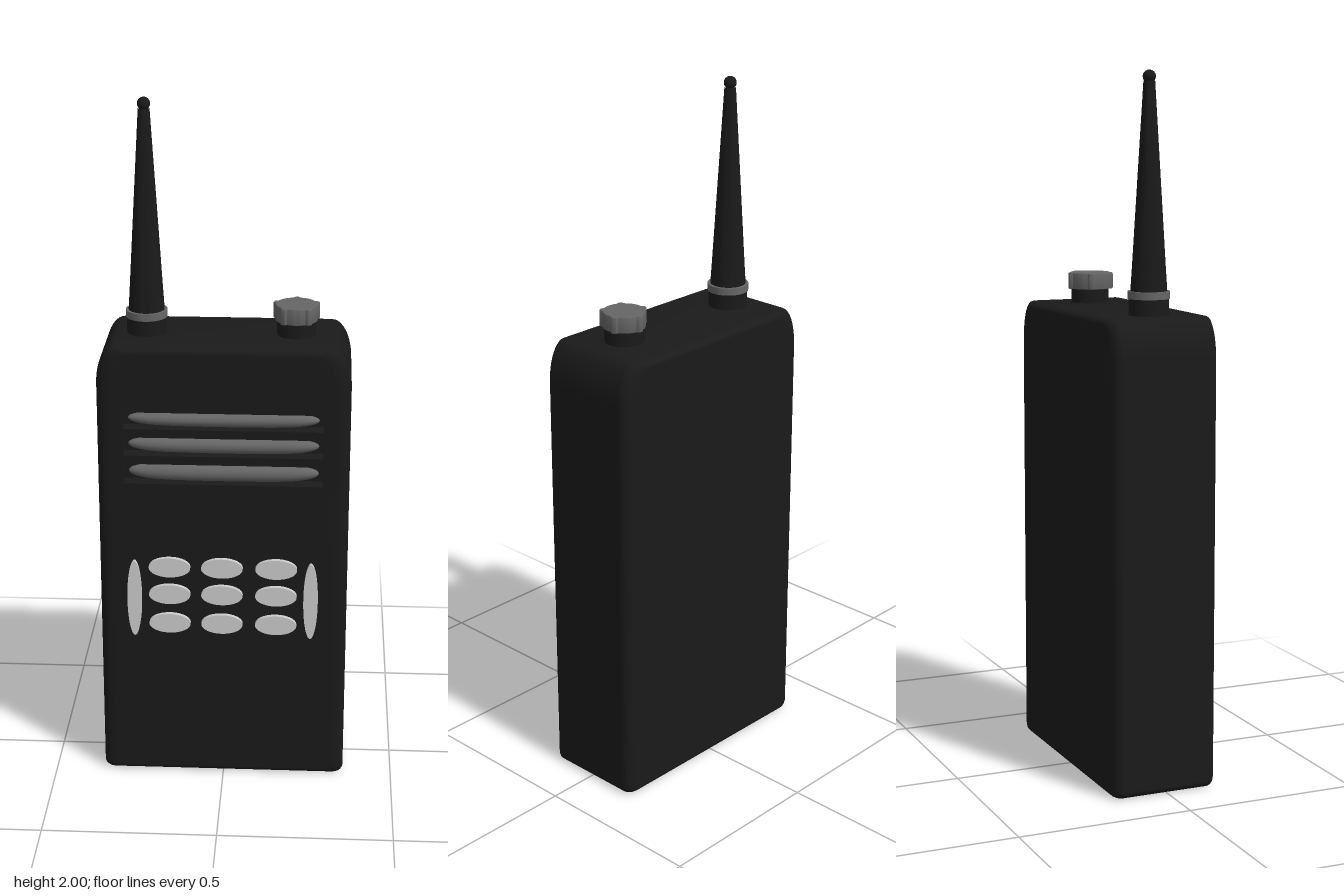
import * as THREE from 'three';
import { toCreasedNormals } from 'three/addons/utils/BufferGeometryUtils.js';

const black = new THREE.MeshStandardMaterial({ color: 0x1a1a1a });
const darkGrey = new THREE.MeshStandardMaterial({ color: 0x666666 });
const lightGrey = new THREE.MeshStandardMaterial({ color: 0xcccccc });

const HALF_W = 0.357, HEIGHT = 1.335, BACK = -0.165, FRONT = 0.152;
// Edge rounding: sideways, vertical and in depth
const EDGE_X = 0.038, EDGE_Y = 0.018, EDGE_Z = 0.03;
const SLOTS = [[1.095, 1.145], [1.015, 1.07], [0.93, 0.99]];
const SLOT_W = 0.565, SLOT_DEPTH = 0.045;

function addMesh(parent, name, geometry, material, x = 0, y = 0, z = 0) {
  const mesh = new THREE.Mesh(geometry, material);
  mesh.name = name;
  mesh.position.set(x, y, z);
  parent.add(mesh);
  return mesh;
}

// Body outline, counter-clockwise, with large top and small bottom corners;
// inset runs from 0 at the sides to 1 at the flat faces
function outline(inset) {
  const points = [];
  const corners = [
    [1, 0, 0.022, 0.022, -90], [1, 1, 0.055, 0.115, 0],
    [-1, 1, 0.055, 0.115, 90], [-1, 0, 0.022, 0.022, 180],
  ];
  for (const [side, top, rx, ry, start] of corners) {
    const cx = side * (HALF_W - inset * EDGE_X - rx);
    const low = inset * EDGE_Y + ry;
    const cy = top ? HEIGHT - low : low;
    for (let i = 0; i <= 10; i++) {
      const a = THREE.MathUtils.degToRad(start + i * 9);
      points.push(new THREE.Vector2(cx + rx * Math.cos(a), cy + ry * Math.sin(a)));
    }
  }
  return points;
}

// Side wall lofted from back to front with rounded edges
function wallGeometry() {
  const backRings = [], frontRings = [];
  for (let i = 0; i <= 6; i++) {
    const a = (i / 6) * Math.PI / 2;
    const inset = 1 - Math.sin(a), depth = EDGE_Z * (1 - Math.cos(a));
    backRings.push([inset, BACK + depth]);
    frontRings.unshift([inset, FRONT - depth]);
  }
  const rings = [...backRings, ...frontRings];
  const positions = [], index = [];
  const n = outline(0).length;
  for (const [inset, z] of rings) {
    for (const p of outline(inset)) positions.push(p.x, p.y, z);
  }
  for (let r = 0; r < rings.length - 1; r++) {
    for (let i = 0; i < n; i++) {
      const a = r * n + i, b = r * n + (i + 1) % n;
      index.push(a, b, b + n, a, b + n, a + n);
    }
  }
  const g = new THREE.BufferGeometry();
  g.setAttribute('position', new THREE.Float32BufferAttribute(positions, 3));
  g.setIndex(index);
  g.computeVertexNormals();
  return g;
}

function buildBody() {
  const body = new THREE.Group();
  body.name = 'body';
  addMesh(body, 'bodyWall', wallGeometry(), black);

  // Front face with speaker slots cut out
  const face = new THREE.Shape(outline(1));
  for (const [y0, y1] of SLOTS) {
    const w = SLOT_W / 2;
    face.holes.push(new THREE.Path([
      new THREE.Vector2(-w, y0), new THREE.Vector2(-w, y1),
      new THREE.Vector2(w, y1), new THREE.Vector2(w, y0),
    ]));
  }
  addMesh(body, 'frontFace', new THREE.ShapeGeometry(face), black, 0, 0, FRONT);
  const back = addMesh(body, 'backFace', new THREE.ShapeGeometry(new THREE.Shape(outline(1))), black, 0, 0, BACK);
  back.rotation.y = Math.PI;
  return body;
}

// Box without its front, facing inward
function pocketGeometry(height) {
  const g = new THREE.BoxGeometry(SLOT_W, height, SLOT_DEPTH);
  const index = Array.from(g.index.array);
  index.splice(24, 6);
  g.setIndex(index.reverse());
  g.clearGroups();
  g.computeVertexNormals();
  return g;
}

// Rounded bar with blunt ends, bowed forward in the middle
function barGeometry() {
  const profile = [];
  for (let i = 0; i <= 40; i++) {
    const t = -Math.cos(i / 40 * Math.PI);
    profile.push(new THREE.Vector2(Math.sqrt(Math.max(0, 1 - Math.abs(t) ** 6)), t));
  }
  const g = new THREE.LatheGeometry(profile, 20).rotateZ(Math.PI / 2);
  const p = g.attributes.position;
  for (let i = 0; i < p.count; i++) p.setZ(i, p.getZ(i) - 0.4 * p.getX(i) ** 2);
  return g;
}

function buildSpeaker() {
  const speaker = new THREE.Group();
  speaker.name = 'speakerGrille';
  const bar = barGeometry();
  for (const [y0, y1] of SLOTS) {
    const h = y1 - y0, y = (y0 + y1) / 2;
    addMesh(speaker, 'slot', pocketGeometry(h), black, 0, y, FRONT - SLOT_DEPTH / 2);
    addMesh(speaker, 'grilleBar', bar, darkGrey, 0, y, 0.131).scale.set(0.27, h * 0.4, 0.023);
  }
  return speaker;
}

// Oval keys in a grid with a tall key on each side
function buildKeypad() {
  const keypad = new THREE.Group();
  keypad.name = 'keypad';
  const disc = new THREE.CylinderGeometry(1, 1, 0.03, 40).rotateX(Math.PI / 2);
  const key = (name, x, y, rx, ry) =>
    addMesh(keypad, name, disc, lightGrey, x, y, 0.15).scale.set(rx, ry, 1);
  for (const y of [0.675, 0.59, 0.498]) {
    for (const x of [-0.154, -0.003, 0.153]) key('ovalKey', x, y, 0.06, 0.03);
  }
  for (const x of [-0.256, 0.253]) key('sideKey', x, 0.576, 0.021, 0.118);
  return keypad;
}

function lathe(points) {
  const g = new THREE.LatheGeometry(points.map(([r, y]) => new THREE.Vector2(r, y)), 40);
  return toCreasedNormals(g, 0.6);
}

function buildAntenna() {
  const antenna = new THREE.Group();
  antenna.name = 'antenna';
  antenna.position.set(-0.224, 0, -0.004);
  addMesh(antenna, 'antennaBase', new THREE.CylinderGeometry(0.056, 0.056, 0.06, 40), black, 0, 1.355);
  addMesh(antenna, 'antennaRing', lathe([[0.045, 1.38], [0.059, 1.38], [0.059, 1.401], [0.045, 1.401]]), darkGrey);
  addMesh(antenna, 'antennaRod', lathe([[0.051, 1.4], [0.047, 1.46], [0.016, 1.97]]), black);
  addMesh(antenna, 'antennaTip', new THREE.SphereGeometry(0.018, 24, 16), black, 0, 1.982);
  return antenna;
}

// Turning knob with five narrow grip ridges
function buildKnob() {
  const knob = new THREE.Group();
  knob.name = 'knob';
  knob.position.set(0.199, 0, -0.003);
  addMesh(knob, 'knobBase', new THREE.CylinderGeometry(0.055, 0.055, 0.06, 40), black, 0, 1.355);
  const points = [];
  for (let i = 0; i < 160; i++) {
    const a = i / 160 * Math.PI * 2;
    const step = Math.PI * 2 / 5, d = a - Math.PI / 2;
    const off = d - Math.round(d / step) * step;
    const r = 0.057 + 0.008 * Math.exp(-((off / 0.13) ** 4));
    points.push(new THREE.Vector2(r * Math.cos(a), r * Math.sin(a)));
  }
  const cap = new THREE.ExtrudeGeometry(new THREE.Shape(points), {
    depth: 0.04, bevelEnabled: true, bevelSize: 0.003, bevelThickness: 0.004, bevelSegments: 2,
  }).rotateX(-Math.PI / 2);
  addMesh(knob, 'knobCap', toCreasedNormals(cap, 0.5), darkGrey, 0, 1.379);
  return knob;
}

export function createModel() {
  const model = new THREE.Group();
  model.name = 'handheldRadio';
  model.add(buildBody(), buildSpeaker(), buildKeypad(), buildAntenna(), buildKnob());
  return model;
}
